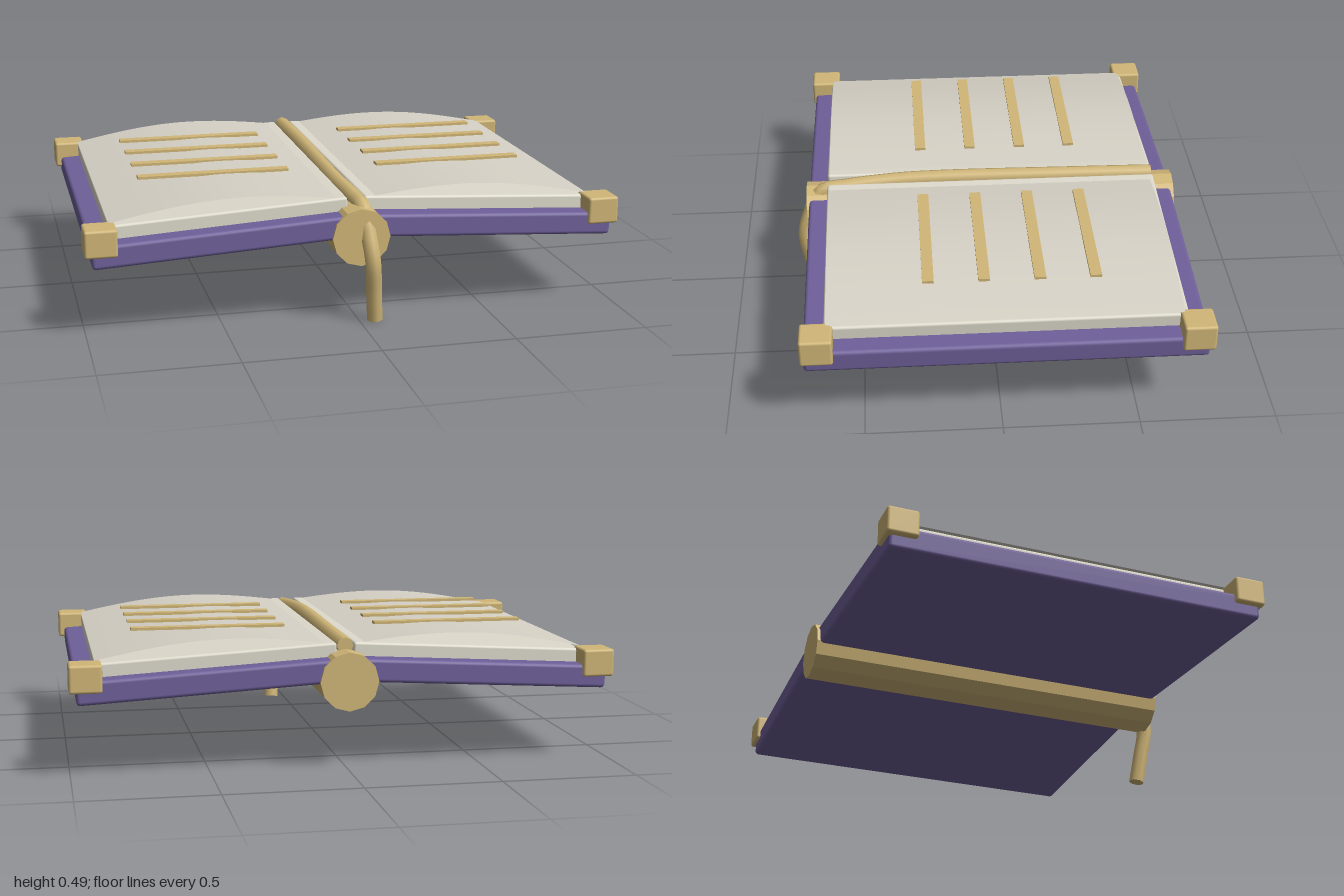
import * as THREE from 'three';
import { RoundedBoxGeometry } from 'three/addons/geometries/RoundedBoxGeometry.js';

const MID_Z = -0.02; // the book's centre in depth
const TILT = 0.057; // slope of each half, falling away from the spine

export function createModel() {
  const purple = new THREE.MeshStandardMaterial({ color: 0x6f609a });
  purple.name = 'purple cover';
  const gold = new THREE.MeshStandardMaterial({ color: 0xd0b677 });
  gold.name = 'gold';
  const goldFacet = gold;
  const cream = new THREE.MeshStandardMaterial({ color: 0xdedacc });
  cream.name = 'cream paper';
  const sheetMat = new THREE.MeshStandardMaterial({ color: 0xd6d1c5, side: THREE.DoubleSide });
  sheetMat.name = 'open page';

  const book = new THREE.Group();
  book.name = 'openBook';

  const add = (name, geometry, material, x = 0, y = 0, z = 0, parent = book) => {
    const mesh = new THREE.Mesh(geometry, material);
    mesh.name = name;
    mesh.position.set(x, y, z);
    parent.add(mesh);
    return mesh;
  };

  // Arched top page: an open sheet bulging above the page block
  const archedSheet = (side) => {
    const g = new THREE.PlaneGeometry(1, 1.275, 16, 1);
    g.rotateX(-Math.PI / 2);
    const p = g.attributes.position;
    for (let i = 0; i < p.count; i++) {
      const u = p.getX(i) + 0.5;
      const t = side > 0 ? u : 1 - u; // 0 at the gutter, 1 at the outer edge
      p.setX(i, side * (0.035 + 0.87 * t));
      p.setY(i, 0.458 - 0.035 * t + 0.046 * Math.sin(Math.PI * t));
    }
    g.computeVertexNormals();
    return g;
  };

  for (const side of [1, -1]) {
    const half = new THREE.Group();
    half.name = side > 0 ? 'leftHalf' : 'rightHalf';
    book.add(half);

    // Cover board and page block share the same slope
    add('cover', new RoundedBoxGeometry(0.975, 0.086, 1.443, 2, 0.014), purple,
      side * 0.489, 0.346, MID_Z + 0.002, half).rotation.z = -side * TILT;
    add('pageBlock', new RoundedBoxGeometry(0.875, 0.075, 1.3, 2, 0.01), cream,
      side * 0.467, 0.403, MID_Z, half).rotation.z = -side * TILT;
    add('topPage', archedSheet(side), sheetMat, 0, 0, MID_Z + 0.005, half);

    // Raised text bars
    for (let i = 0; i < 4; i++) {
      add('textBar', new THREE.BoxGeometry(0.58, 0.01, 0.042), gold,
        side * 0.465, 0.489, 0.255 - i * 0.202, half);
    }

    // Metal corner caps
    for (const end of [1, -1]) {
      add('cornerCap', new RoundedBoxGeometry(0.118, 0.102, 0.118, 2, 0.01), gold,
        side * 0.941, 0.373, MID_Z + end * 0.676, half);
    }
  }

  // Faceted spine rod
  const rod = new THREE.CylinderGeometry(0.108, 0.108, 1.465, 12).toNonIndexed();
  rod.computeVertexNormals();
  rod.rotateX(Math.PI / 2);
  add('spine', rod, goldFacet, 0, 0.333, MID_Z + 0.001);

  // Ribbon bookmark lying in the gutter and sinking at the front
  const ribbonPath = new THREE.CatmullRomCurve3([
    [0, 0.452, -0.665], [0, 0.456, -0.3], [-0.006, 0.456, 0.15],
    [-0.004, 0.452, 0.35], [0.012, 0.44, 0.56], [0.02, 0.425, 0.655],
    [0.03, 0.33, 0.705], [0.04, 0.24, 0.727], [0.049, 0.12, 0.709], [0.058, 0.01, 0.691],
  ].map((p) => new THREE.Vector3(...p)));
  const ribbonRadius = 0.031;
  add('ribbon', new THREE.TubeGeometry(ribbonPath, 60, ribbonRadius, 8), gold);

  // Flat ends of the ribbon
  for (const t of [0, 1]) {
    const cap = add('ribbonEnd', new THREE.CircleGeometry(ribbonRadius, 8), gold);
    cap.position.copy(ribbonPath.getPointAt(t));
    const outward = ribbonPath.getTangentAt(t).multiplyScalar(t ? 1 : -1);
    cap.quaternion.setFromUnitVectors(new THREE.Vector3(0, 0, 1), outward);
  }

  return book;
}
